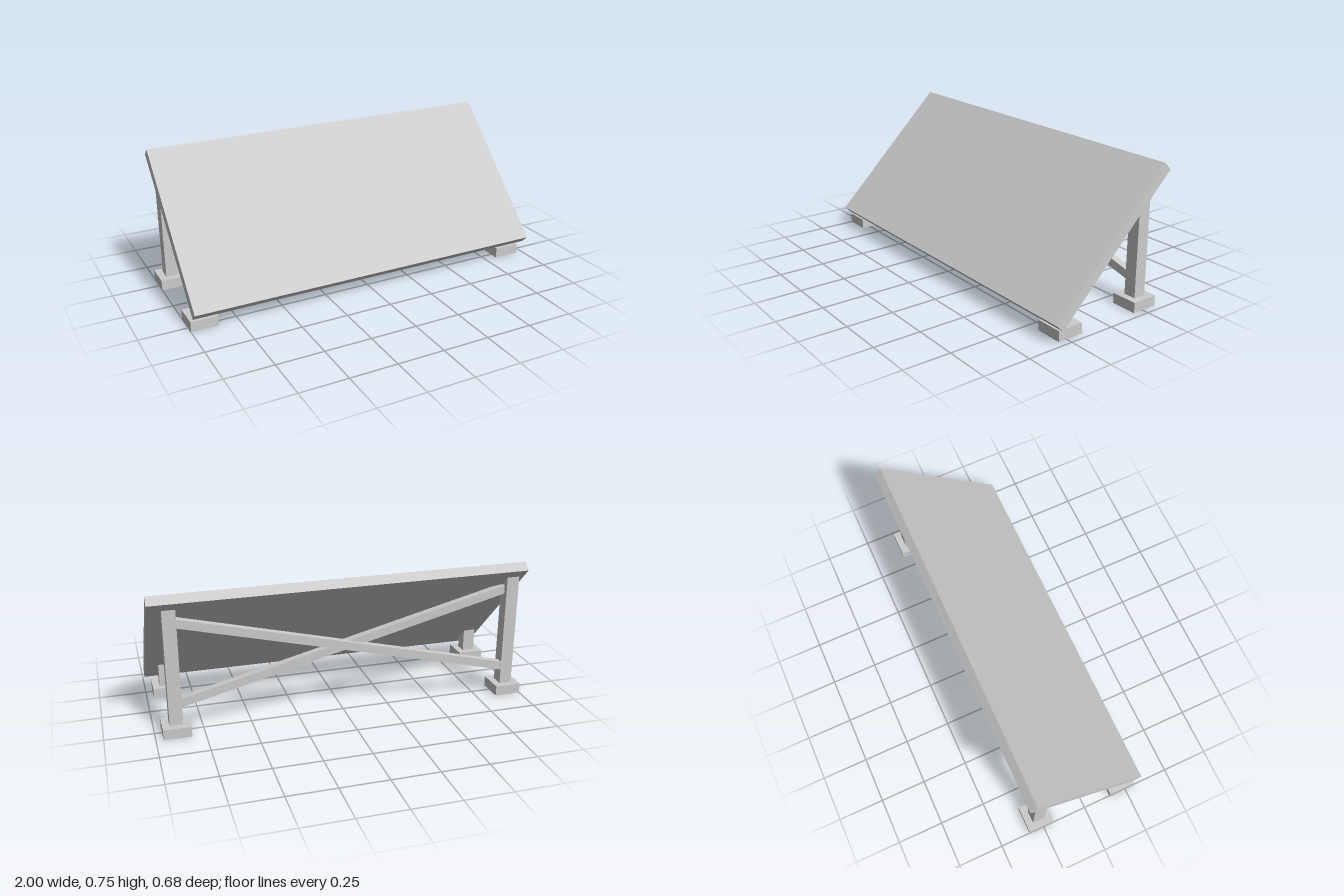
import * as THREE from 'three';

const grey = new THREE.MeshStandardMaterial({ color: 0xcccccc });
const greyOpen = new THREE.MeshStandardMaterial({ color: 0xcccccc, side: THREE.DoubleSide });

const POST = 0.068, FOOT = 0.143, FOOT_H = 0.055;
const LEFT_X = 0.891, RIGHT_X = -0.929, FRONT_Z = 0.2255, BACK_Z = -0.2635;
const underside = z => 0.375 - z; // height of the panel's lower face

function add(parent, name, geometry, x, y, z, material = grey) {
  const mesh = new THREE.Mesh(geometry, material);
  mesh.name = name;
  mesh.position.set(x, y, z);
  parent.add(mesh);
  return mesh;
}

// Hollow foot: a box without its bottom face
function footGeometry() {
  const g = new THREE.BoxGeometry(FOOT, FOOT_H, FOOT);
  const index = Array.from(g.index.array);
  index.splice(18, 6);
  g.setIndex(index);
  g.clearGroups();
  return g;
}

// Square post whose top is mitred to the slope of the panel
function postGeometry(z) {
  const g = new THREE.BoxGeometry(POST, 1, POST);
  const p = g.attributes.position;
  for (let i = 0; i < p.count; i++) {
    p.setY(i, p.getY(i) > 0 ? underside(z + p.getZ(i)) : FOOT_H);
  }
  g.computeVertexNormals();
  return g;
}

export function createModel() {
  const model = new THREE.Group();
  model.name = 'tiltedPanelStand';

  // Sloping panel
  const panel = add(model, 'panel', new THREE.BoxGeometry(1.987, 0.054, 0.914), 0.004, 0.412, 0);
  panel.rotation.x = Math.PI / 4;

  // Four legs, each a post on a hollow foot
  for (const [side, x] of [['Left', LEFT_X], ['Right', RIGHT_X]]) {
    for (const [end, z] of [['front', FRONT_Z], ['back', BACK_Z]]) {
      const leg = new THREE.Group();
      leg.name = `${end}${side}Leg`;
      leg.position.set(x, 0, z);
      add(leg, 'foot', footGeometry(), 0, FOOT_H / 2, 0, greyOpen);
      add(leg, 'post', postGeometry(z), 0, 0, 0);
      model.add(leg);
    }
  }

  // Crossed braces between the back posts
  const span = LEFT_X - RIGHT_X - POST / 2, rise = 0.445;
  for (const [name, dir] of [['outerBrace', 1], ['innerBrace', -1]]) {
    const brace = add(model, name, new THREE.BoxGeometry(Math.hypot(span, rise), 0.045, 0.04),
      (LEFT_X + RIGHT_X) / 2, 0.378, BACK_Z - dir * 0.012);
    brace.rotation.z = dir * Math.atan2(rise, span);
  }

  return model;
}
